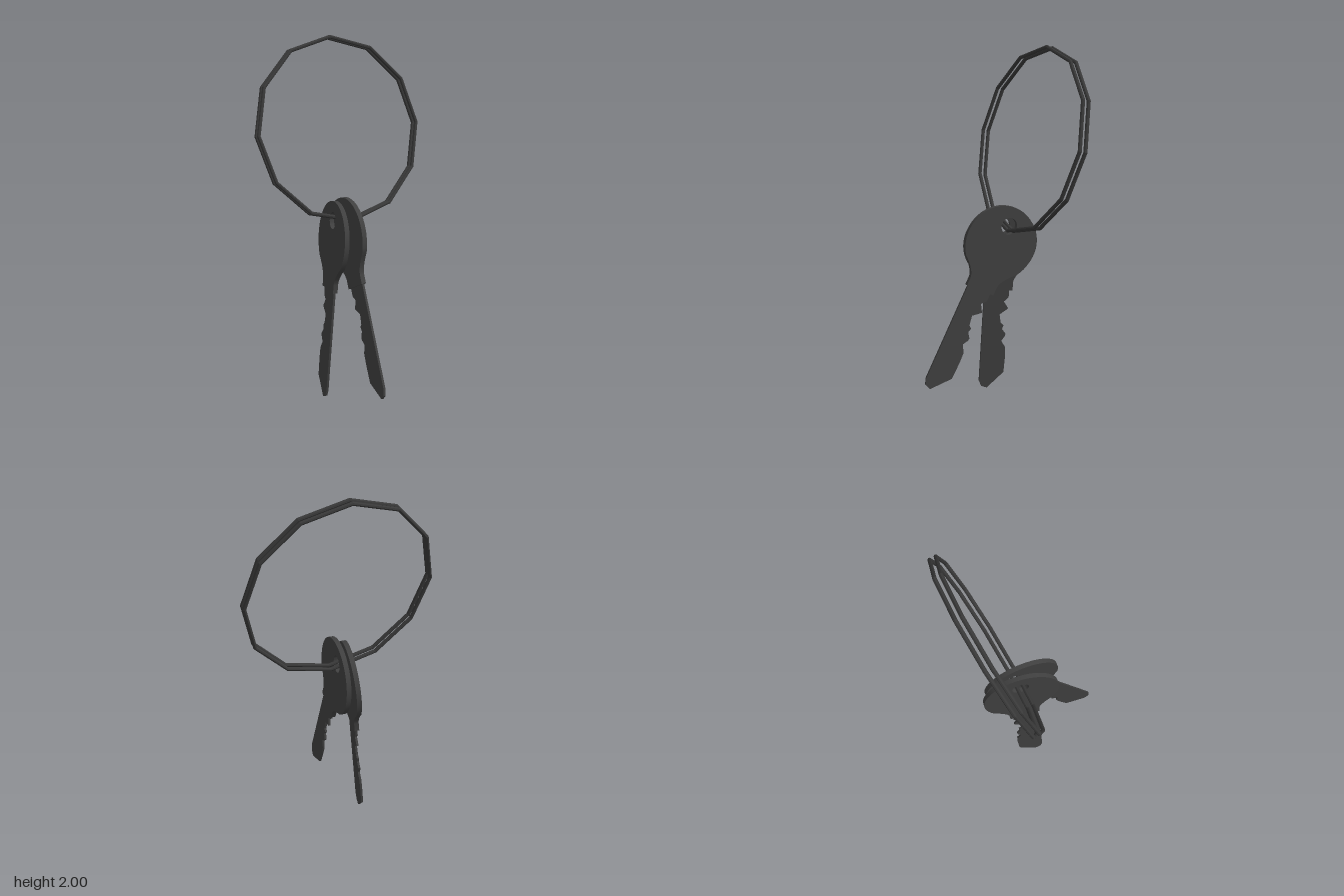
import * as THREE from 'three';
import { toCreasedNormals } from 'three/addons/utils/BufferGeometryUtils.js';

const keyMetal = new THREE.MeshStandardMaterial({ color: 0x404040 });
keyMetal.name = 'dark key metal';
const ringMetal = new THREE.MeshStandardMaterial({ color: 0x383838, flatShading: true });
ringMetal.name = 'dark ring metal';

// Extrudes a flat outline, centred on its own thickness
function plate(shape, thickness) {
  const g = new THREE.ExtrudeGeometry(shape, { depth: thickness, bevelEnabled: false, curveSegments: 18 });
  g.translate(0, 0, -thickness / 2);
  return toCreasedNormals(g, 0.6);
}

// Round head running into a short neck, with a hole for the ring
function headShape() {
  const r = 0.214, a = -0.66;
  const x = r * Math.cos(a), y = r * Math.sin(a);
  const s = new THREE.Shape();
  s.moveTo(-0.088, -0.285);
  s.lineTo(0.088, -0.285);
  s.lineTo(0.088, -0.235);
  s.quadraticCurveTo(0.095, -0.19, x, y);
  s.absarc(0, 0, r, a, Math.PI - a, false);
  s.quadraticCurveTo(-0.095, -0.19, -0.088, -0.235);
  s.closePath();
  const hole = new THREE.Path();
  hole.absarc(0, 0.107, 0.047, 0, Math.PI * 2, true);
  s.holes.push(hole);
  return s;
}

// Straight back edge, pointed tip and a toothed cutting edge
function bladeShape() {
  const points = [
    [0.079, -0.25], [-0.07, -0.25], [-0.07, -0.33], [-0.043, -0.355], [-0.072, -0.4],
    [-0.022, -0.435], [-0.032, -0.49], [-0.05, -0.505], [-0.043, -0.53], [-0.066, -0.56],
    [-0.064, -0.575], [-0.043, -0.605], [-0.07, -0.648], [-0.073, -0.71], [-0.07, -0.81],
    [0.029, -0.904], [0.063, -0.89], [0.078, -0.855],
  ];
  return new THREE.Shape(points.map(([x, y]) => new THREE.Vector2(x, y)));
}

const headGeometry = plate(headShape(), 0.026);
const bladeGeometry = plate(bladeShape(), 0.012);

// One key, placed by its head centre, face normal and upward direction
function makeKey(name, centre, normal, upward) {
  const key = new THREE.Group();
  key.name = name;
  const head = new THREE.Mesh(headGeometry, keyMetal);
  head.name = 'keyHead';
  const blade = new THREE.Mesh(bladeGeometry, keyMetal);
  blade.name = 'keyBlade';
  key.add(head, blade);

  const n = new THREE.Vector3(...normal).normalize();
  const up = new THREE.Vector3(...upward).projectOnPlane(n).normalize();
  const side = new THREE.Vector3().crossVectors(up, n);
  key.quaternion.setFromRotationMatrix(new THREE.Matrix4().makeBasis(side, up, n));
  key.position.set(...centre);
  return key;
}

export function createModel() {
  const model = new THREE.Group();
  model.name = 'keysOnRing';

  // Split ring: two twelve-sided loops lying side by side
  const loopGeometry = new THREE.TorusGeometry(0.506, 0.0105, 8, 12);
  const across = new THREE.Vector3(1, 0, -0.05).normalize();
  const rise = new THREE.Vector3(0, 1, -0.24).projectOnPlane(across).normalize();
  const facing = new THREE.Vector3().crossVectors(across, rise);
  const ring = new THREE.Group();
  ring.name = 'keyRing';
  for (const [y, z] of [[1.494, -0.215], [1.487, -0.248]]) {
    const loop = new THREE.Mesh(loopGeometry, ringMetal);
    loop.name = 'ringLoop';
    loop.quaternion.setFromRotationMatrix(new THREE.Matrix4().makeBasis(across, rise, facing));
    loop.position.set(0, y, z);
    ring.add(loop);
  }
  model.add(ring);

  // Two keys hanging at different angles
  model.add(makeKey('swungKey', [-0.045, 0.92, -0.077], [-1, 0.006, -0.045], [0, 0.896, -0.444]));
  model.add(makeKey('hangingKey', [-0.112, 0.9, -0.11], [-1, 0.096, -0.152], [0, 0.999, -0.033]));
  return model;
}
